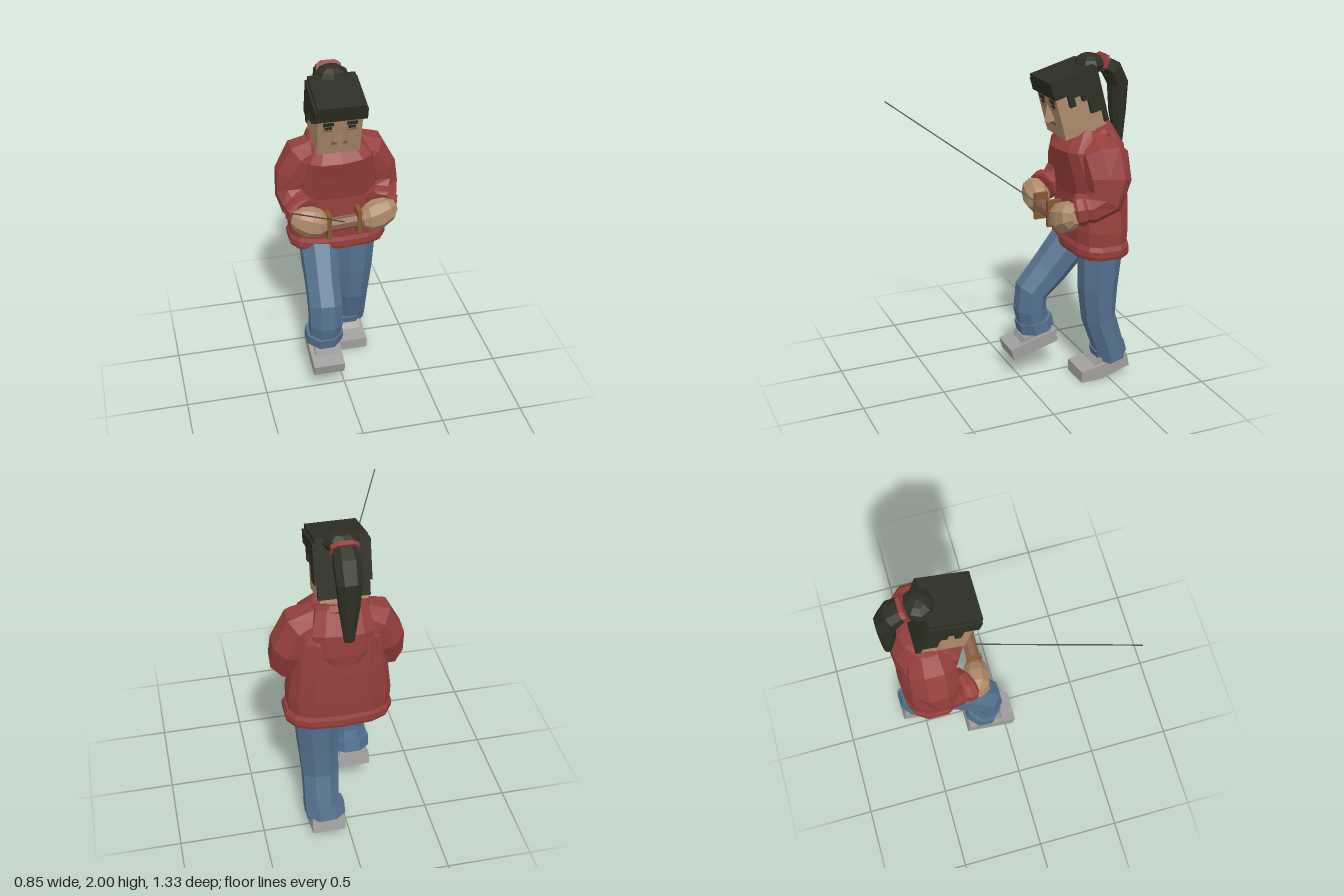
import * as THREE from 'three';

const paint = (name, color) => {
  const m = new THREE.MeshStandardMaterial({ color });
  m.name = name;
  return m;
};

// Facets a geometry by splitting its corners
function flat(geo) {
  const g = geo.index ? geo.toNonIndexed() : geo;
  g.computeVertexNormals();
  return g;
}

// Closed tube through stations [x, y, z, ru, rv]; power < 1 squares the section off
function loft(stations, sides = 8, power = 1, ref = new THREE.Vector3(1, 0, 0)) {
  const c = stations.map((s) => new THREE.Vector3(s[0], s[1], s[2]));
  const sq = (v) => Math.sign(v) * Math.pow(Math.abs(v), power);
  const rings = stations.map((s, i) => {
    const t = c[Math.min(i + 1, c.length - 1)].clone().sub(c[Math.max(i - 1, 0)]).normalize();
    const u = ref.clone().addScaledVector(t, -ref.dot(t)).normalize();
    const v = t.clone().cross(u);
    return Array.from({ length: sides }, (_, k) => {
      const a = ((k + 0.5) / sides) * Math.PI * 2;
      return c[i].clone().addScaledVector(u, sq(Math.cos(a)) * s[3]).addScaledVector(v, sq(Math.sin(a)) * (s[4] ?? s[3]));
    });
  });
  const pts = [];
  const last = rings.length - 1;
  for (let k = 0; k < sides; k++) {
    const n = (k + 1) % sides;
    for (let i = 0; i < last; i++) {
      const [p, q, r, s] = [rings[i][k], rings[i][n], rings[i + 1][n], rings[i + 1][k]];
      pts.push(p, q, r, p, r, s);
    }
    pts.push(c[0], rings[0][n], rings[0][k], c[last], rings[last][k], rings[last][n]);
  }
  return flat(new THREE.BufferGeometry().setFromPoints(pts));
}

// Side profile of [z, y] points, extruded across x
function sideProfile(points, x, width) {
  const shape = new THREE.Shape(points.map(([z, y]) => new THREE.Vector2(z, y)));
  const g = new THREE.ExtrudeGeometry(shape, { depth: width, bevelEnabled: false });
  return flat(g.rotateY(-Math.PI / 2).translate(x + width / 2, 0, 0));
}

export function createModel() {
  const red = paint('sweater red', 0x953f3b);
  const denim = paint('denim blue', 0x557391);
  const skin = paint('skin', 0xae8a69);
  const hair = paint('dark hair', 0x2d2e23);
  const grey = paint('shoe grey', 0xa09f9d);
  const wood = paint('handle brown', 0x85592f);
  const lip = paint('lip brown', 0x886049);
  const cord = paint('cord grey', 0x565652);

  const model = new THREE.Group();
  model.name = 'figure';
  const add = (name, geo, mat, parent = model) => {
    const mesh = new THREE.Mesh(geo, mat);
    mesh.name = name;
    parent.add(mesh);
    return mesh;
  };
  const box = (name, mat, w, h, d, x, y, z, parent = model) =>
    add(name, flat(new THREE.BoxGeometry(w, h, d).translate(x, y, z)), mat, parent);

  // Sweater body, hem, hood and collar
  add('sweaterBody', loft([
    [0.04, 0.86, -0.435, 0.29, 0.165], [0.04, 1.0, -0.437, 0.295, 0.172],
    [0.04, 1.2, -0.44, 0.27, 0.17], [0.04, 1.38, -0.42, 0.25, 0.185],
    [0.04, 1.47, -0.39, 0.22, 0.18], [0.03, 1.55, -0.41, 0.14, 0.11],
  ], 14, 0.7), red);
  add('sweaterHem', loft([
    [0.045, 0.84, -0.435, 0.3, 0.172], [0.045, 0.86, -0.435, 0.308, 0.178],
    [0.045, 0.895, -0.435, 0.308, 0.178], [0.045, 0.92, -0.435, 0.295, 0.168],
  ], 14, 0.7), red);
  add('hood', loft([
    [0.035, 1.27, -0.585, 0.09, 0.03], [0.035, 1.33, -0.57, 0.15, 0.05],
    [0.035, 1.45, -0.545, 0.18, 0.07], [0.03, 1.57, -0.49, 0.15, 0.055],
  ], 10), red);
  const collar = add('collar', flat(new THREE.TorusGeometry(0.135, 0.035, 6, 12).rotateX(Math.PI / 2)), red);
  collar.position.set(0.025, 1.525, -0.4);
  collar.rotation.x = 0.4;
  add('neck', loft([[0.025, 1.42, -0.4, 0.1], [0.02, 1.62, -0.36, 0.09]], 8), skin);

  // Sleeves, cuffs and fists
  const across = new THREE.Vector3(0, 0, 1);
  for (const s of [-1, 1]) {
    const side = s > 0 ? 'left' : 'right';
    const X = (v) => 0.04 + s * v;
    add(side + 'Sleeve', loft([
      [X(0.1), 1.49, -0.42, 0.08, 0.11], [X(0.2), 1.44, -0.42, 0.115, 0.145],
      [X(0.26), 1.32, -0.42, 0.115, 0.135], [X(0.275), 1.21, -0.39, 0.105, 0.115],
      [X(0.26), 1.165, -0.31, 0.1, 0.085], [X(0.235), 1.16, -0.24, 0.085, 0.075],
    ], 8), red);
    add(side + 'Cuff', loft([
      [X(0.255), 1.165, -0.285, 0.085, 0.08], [X(0.25), 1.162, -0.265, 0.105, 0.092],
      [X(0.24), 1.157, -0.235, 0.105, 0.09], [X(0.235), 1.155, -0.225, 0.085, 0.075],
    ], 8), red);
    add(side + 'Hand', loft([
      [X(0.31), 1.15, -0.195, 0.035, 0.045], [X(0.275), 1.14, -0.18, 0.065, 0.075],
      [X(0.21), 1.115, -0.175, 0.078, 0.095], [X(0.15), 1.1, -0.17, 0.072, 0.085],
      [X(0.105), 1.1, -0.165, 0.045, 0.05],
    ], 8, 0.9, across), skin);
  }

  // Handle bar with end brackets and taut cord
  add('handleBar', loft([[-0.08, 1.085, -0.16, 0.042], [0.15, 1.1, -0.16, 0.042]], 8, 1, across), lip);
  for (const x of [-0.06, 0.123]) box('handleBracket', wood, 0.026, 0.16, 0.085, x, x > 0 ? 1.1 : 1.085, -0.16);
  add('cord', loft([[0.03, 1.115, -0.13, 0.004], [-0.43, 1.715, 0.665, 0.004]], 5), cord);

  // Trousers: standing left leg, raised right leg
  add('leftLeg', loft([
    [0.155, 0.14, -0.54, 0.105, 0.095], [0.148, 0.4, -0.455, 0.112, 0.103],
    [0.158, 0.6, -0.44, 0.122, 0.12], [0.17, 0.9, -0.445, 0.135, 0.138],
  ], 8), denim);
  add('leftTrouserCuff', loft([
    [0.133, 0.12, -0.545, 0.122, 0.107], [0.137, 0.2, -0.522, 0.122, 0.107],
  ], 8), denim);
  add('rightLeg', loft([
    [-0.1, 0.28, -0.14, 0.103, 0.1], [-0.095, 0.42, -0.105, 0.108, 0.1],
    [-0.095, 0.53, -0.115, 0.11, 0.105], [-0.09, 0.65, -0.225, 0.11, 0.118],
    [-0.075, 0.88, -0.41, 0.13, 0.13],
  ], 8), denim);
  add('rightTrouserCuff', loft([
    [-0.1, 0.275, -0.145, 0.122, 0.116], [-0.1, 0.345, -0.13, 0.122, 0.116],
  ], 8), denim);

  // Shoes
  add('leftShoe', sideProfile([
    [-0.315, 0], [-0.455, 0], [-0.64, 0.06], [-0.62, 0.145], [-0.45, 0.095], [-0.315, 0.07],
  ], 0.128, 0.195), grey);
  add('leftShoeUpper', sideProfile([
    [-0.4, 0.07], [-0.61, 0.12], [-0.6, 0.165], [-0.45, 0.135],
  ], 0.13, 0.15), grey);
  add('rightShoe', sideProfile([
    [0.035, 0.115], [-0.26, 0.195], [-0.243, 0.27], [0.055, 0.187],
  ], -0.105, 0.195), grey);
  add('rightShoeUpper', sideProfile([
    [-0.02, 0.19], [-0.235, 0.25], [-0.22, 0.29], [-0.04, 0.245],
  ], -0.1, 0.15), grey);

  // Head, tipped forward
  const head = new THREE.Group();
  head.name = 'head';
  head.position.set(0.015, 1.735, -0.305);
  head.rotation.x = 0.27;
  model.add(head);
  box('face', skin, 0.26, 0.345, 0.265, 0, 0, 0, head);
  add('nose', flat(new THREE.ConeGeometry(0.045, 0.1, 3).translate(0, -0.025, 0.142)), skin, head);
  box('mouth', lip, 0.095, 0.022, 0.008, 0, -0.09, 0.134, head);
  for (const s of [-1, 1]) {
    box('brow', hair, 0.062, 0.022, 0.009, s * 0.07, 0.055, 0.134, head);
    box('eye', hair, 0.042, 0.018, 0.007, s * 0.07, 0.026, 0.134, head);
    box('eyeLine', lip, 0.055, 0.008, 0.006, s * 0.07, 0.006, 0.134, head);
  }

  // Hair cap, back and stepped side locks [front, rear, bottom]
  box('hairCap', hair, 0.282, 0.1, 0.295, 0, 0.135, 0, head);
  box('hairBack', hair, 0.28, 0.3, 0.03, 0, 0.0, -0.135, head);
  const locks = [[0.148, 0.065, 0.085], [0.065, 0.03, 0.01], [0.03, -0.015, 0.06],
    [-0.015, -0.05, 0.02], [-0.05, -0.145, -0.068]];
  for (const s of [-1, 1]) {
    for (const [front, rear, low] of locks) {
      box('sideLock', hair, 0.024, 0.16 - low, front - rear, s * 0.142, (0.16 + low) / 2, (front + rear) / 2, head);
    }
  }

  // Bun, hair tie and ponytail
  const bun = add('bun', flat(new THREE.SphereGeometry(0.1, 8, 6)), hair);
  bun.scale.set(1, 0.62, 0.85);
  bun.position.set(0.02, 1.938, -0.42);
  add('hairTie', loft([[0.02, 1.948, -0.485, 0.078, 0.052], [0.02, 1.938, -0.507, 0.078, 0.052]], 8, 0.7), red);
  add('ponytail', loft([
    [0.02, 1.945, -0.49, 0.062, 0.042], [0.02, 1.9, -0.56, 0.078, 0.056],
    [0.02, 1.81, -0.607, 0.072, 0.056], [0.02, 1.64, -0.61, 0.055, 0.047],
    [0.02, 1.45, -0.622, 0.028, 0.024],
  ], 8, 0.8), hair);

  return model;
}
